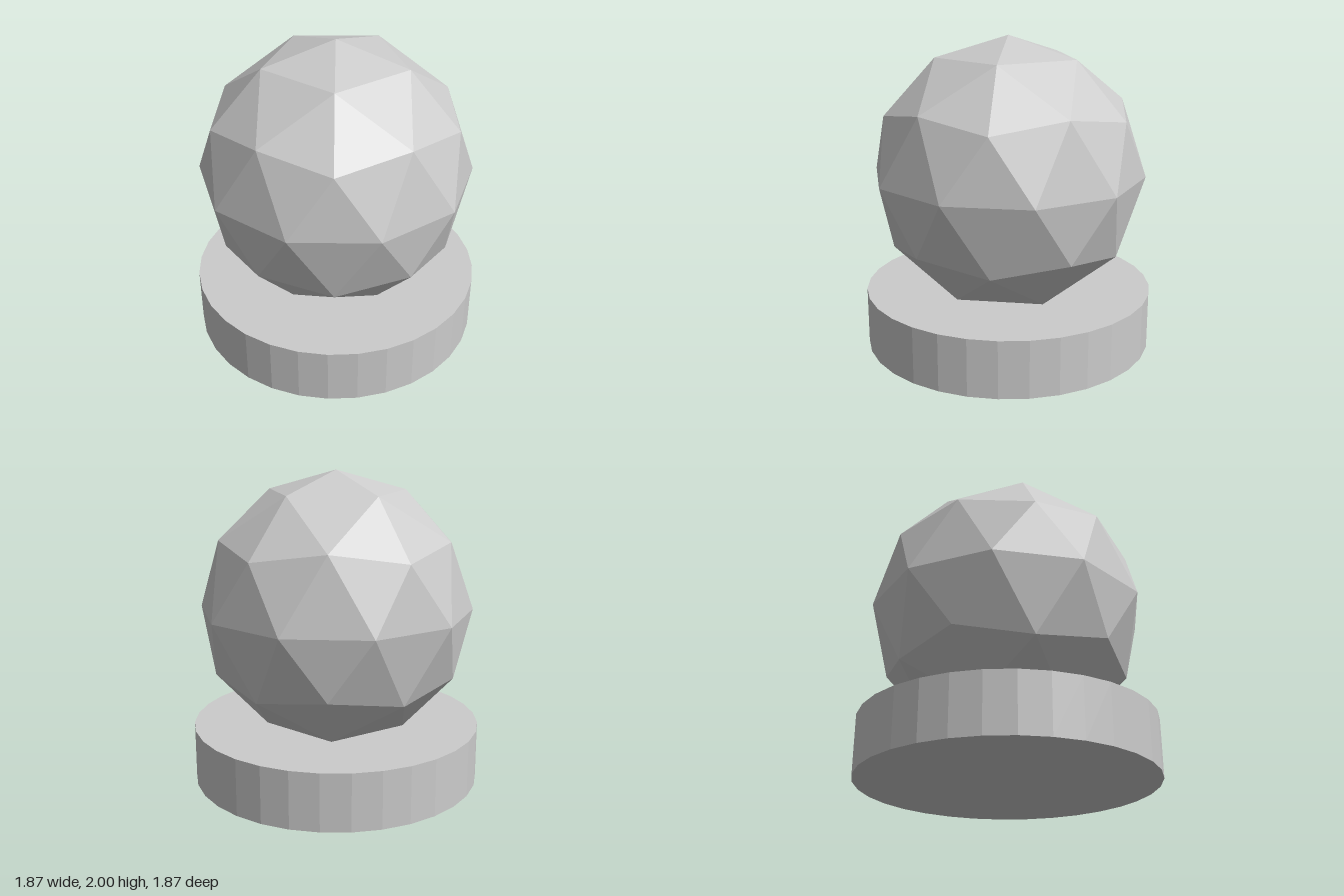
import * as THREE from 'three';

export function createModel() {
  const model = new THREE.Group();
  const material = new THREE.MeshStandardMaterial({ color: 0xcccccc, flatShading: true });

  const add = (name, geometry, y) => {
    const mesh = new THREE.Mesh(geometry, material);
    mesh.name = name;
    mesh.position.y = y;
    model.add(mesh);
  };

  // Round plinth
  const baseHeight = 0.365;
  add('base', new THREE.CylinderGeometry(0.933, 0.933, baseHeight, 32), baseHeight / 2);

  // Faceted ball, turned so one icosahedron corner points straight up
  const radius = 0.88;
  const golden = (1 + Math.sqrt(5)) / 2;
  const ball = new THREE.IcosahedronGeometry(radius, 1);
  ball.rotateZ(-Math.atan(1 / golden));
  add('ball', ball, 2 - radius);

  return model;
}
